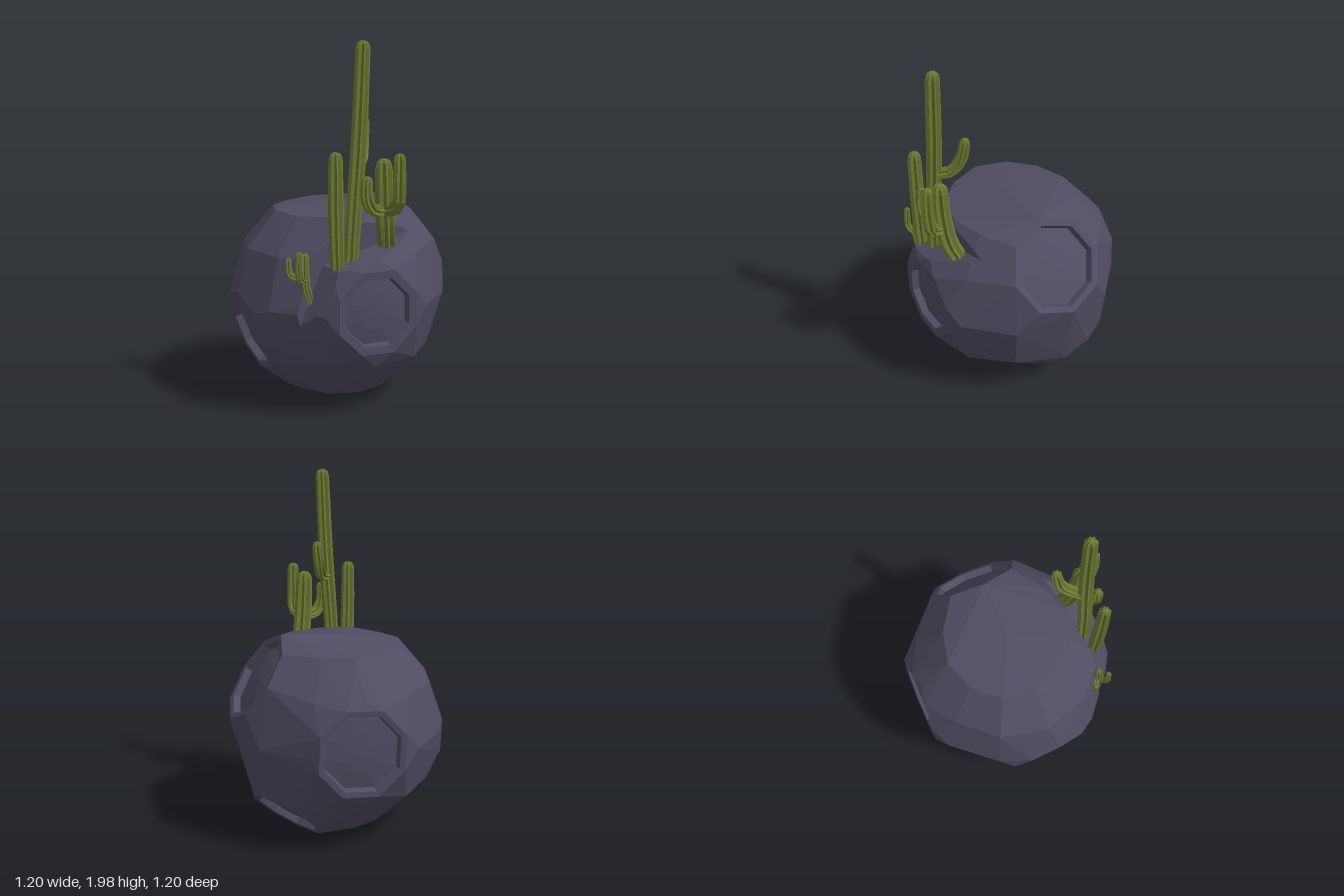
import * as THREE from 'three';
import { ConvexGeometry } from 'three/addons/geometries/ConvexGeometry.js';

const V = (x, y, z) => new THREE.Vector3(x, y, z);

// Faceted skin over a list of rings (each a loop of Vector3)
function loft(rings) {
  const pos = [];
  const n = rings[0].length;
  for (let i = 0; i < rings.length - 1; i++) {
    for (let j = 0; j < n; j++) {
      const k = (j + 1) % n;
      const [a, b, c, d] = [rings[i][j], rings[i][k], rings[i + 1][k], rings[i + 1][j]];
      for (const p of [a, b, c, a, c, d]) pos.push(p.x, p.y, p.z);
    }
  }
  return faceted(pos);
}

function faceted(pos) {
  const g = new THREE.BufferGeometry();
  g.setAttribute('position', new THREE.Float32BufferAttribute(pos, 3));
  g.computeVertexNormals();
  return g;
}

function triangles(points) {
  const p = new ConvexGeometry(points).getAttribute('position');
  const out = [];
  for (let i = 0; i < p.count; i += 3) {
    out.push([0, 1, 2].map((k) => new THREE.Vector3().fromBufferAttribute(p, i + k)));
  }
  return out;
}

// Keep the part of a convex body where n.p <= d
function clip(points, n, d) {
  const out = points.filter((p) => p.dot(n) <= d);
  for (const t of triangles(points)) {
    for (let k = 0; k < 3; k++) {
      const a = t[k], b = t[(k + 1) % 3];
      const da = a.dot(n) - d, db = b.dot(n) - d;
      if (da < 0 && db > 0) out.push(a.clone().lerp(b, da / (da - db)));
    }
  }
  return out;
}

// Craters: direction from the rock centre, rim distance, rim radius, hole radius
const craters = [
  { dir: V(-0.3, 0.0, 0.51), d: 0.555, R: 0.24, r: 0.195 },
  { dir: V(0.42, 0.33, 0.25), d: 0.565, R: 0.27, r: 0.235 },
  { dir: V(0.41, -0.445, 0), d: 0.592, R: 0.22, r: 0.188 },
  { dir: V(0.34, 0.01, -0.53), d: 0.56, R: 0.255, r: 0.222 },
  { dir: V(-0.47, -0.17, -0.25), d: 0.56, R: 0.24, r: 0.205 },
];
craters.forEach((c) => c.dir.normalize());

function octagon(c, radius, dist) {
  const q = new THREE.Quaternion().setFromUnitVectors(V(0, 0, 1), c.dir);
  return Array.from({ length: 8 }, (_, i) => {
    const a = (i + 0.5) * Math.PI / 4;
    return V(radius * Math.cos(a), radius * Math.sin(a), dist).applyQuaternion(q);
  });
}

// Coarse ball with a flattened top, its points replaced by rims at the craters
function rockPoints() {
  const pts = [V(0, 0.52, 0), V(0, -0.58, 0)];
  for (const lat of [-60, -30, 0, 28, 53]) {
    for (let i = 0; i < 12; i++) {
      const a = i * Math.PI / 6, e = lat * Math.PI / 180;
      const s = 0.597 + 0.006 * Math.sin(i * 2.3 + lat);
      pts.push(V(s * Math.cos(e) * Math.sin(a), s * Math.sin(e), s * Math.cos(e) * Math.cos(a)));
    }
  }
  const kept = pts.filter((p) => craters.every((c) => p.dot(c.dir) < c.d - 0.01));
  for (const c of craters) kept.push(...octagon(c, c.R, c.d));
  return kept;
}

// Hull of the points with the crater mouths left open
function openHull(points) {
  const pos = [];
  for (const t of triangles(points)) {
    const mouth = craters.some((c) => t.every((p) => Math.abs(p.dot(c.dir) - c.d) < 1e-4));
    if (!mouth) t.forEach((p) => pos.push(p.x, p.y, p.z));
  }
  return faceted(pos);
}

// Ribbed cactus limb with a rounded tip, swept along a curve
function limb(points, r) {
  const curve = new THREE.CatmullRomCurve3(points.map((p) => V(...p)));
  const L = curve.getLength();
  const steps = [];
  for (let i = 0; i <= 8; i++) steps.push([(i / 8) * (1 - r / L), 0.9 + 0.1 * Math.sin(Math.PI * i / 8)]);
  steps.push([1 - 0.45 * r / L, 0.76], [1 - 0.12 * r / L, 0.48], [1, 0]);
  const side = V(0, 0, 1);
  return loft(steps.map(([u, s]) => {
    const c = curve.getPointAt(u), t = curve.getTangentAt(u);
    side.addScaledVector(t, -side.dot(t)).normalize();
    const up = t.clone().cross(side);
    return Array.from({ length: 16 }, (_, j) => {
      const a = j * Math.PI / 8, rad = r * s * (j % 2 ? 0.72 : 1.05);
      return c.clone().addScaledVector(side, rad * Math.cos(a)).addScaledVector(up, rad * Math.sin(a));
    });
  }));
}

export function createModel() {
  const stone = new THREE.MeshStandardMaterial({ color: 0x504c62 });
  stone.name = 'slateStone';
  const green = new THREE.MeshStandardMaterial({ color: 0x6b7a30 });
  green.name = 'cactusGreen';

  const model = new THREE.Group();
  model.name = 'cactusAsteroid';
  const add = (parent, name, geometry, material) => {
    const mesh = new THREE.Mesh(geometry, material);
    mesh.name = name;
    parent.add(mesh);
  };

  // Rock: main body ends at a wall, front shelf is cut lower to leave a ledge
  const rock = new THREE.Group();
  rock.name = 'rock';
  rock.position.y = 0.6;
  model.add(rock);
  const wall = V(-0.43, 0, 0.9);
  const all = rockPoints();
  add(rock, 'rockBody', openHull(clip(all, wall, 0.378)), stone);
  let shelf = clip(all, wall.clone().negate(), -0.373);
  shelf = clip(shelf, V(-0.31, 0.947, 0.09), 0.383);
  shelf = clip(shelf, V(-0.95, 0.4, -0.1), 0.473);
  add(rock, 'rockShelf', openHull(shelf), stone);

  // Crater lip, wall and gently domed floor
  craters.forEach((c, i) => add(rock, `crater${i + 1}`, loft([
    octagon(c, c.R, c.d),
    octagon(c, c.r, c.d - 0.003),
    octagon(c, c.r * 0.95, c.d - 0.042),
    octagon(c, c.r * 0.5, c.d - 0.028),
    octagon(c, 0, c.d - 0.022),
  ]), stone));

  // Cacti: each limb is a path and a radius
  const cacti = {
    tallCactus: [
      [[[-0.31, 0.84, 0.32], [-0.3, 1.1, 0.33], [-0.27, 1.5, 0.34], [-0.25, 2.0, 0.35]], 0.041],
      [[[-0.27, 1.38, 0.33], [-0.2, 1.39, 0.31], [-0.15, 1.46, 0.28], [-0.12, 1.6, 0.27]], 0.032],
    ],
    columnCactus: [
      [[[-0.4, 0.8, 0.3], [-0.415, 1.1, 0.3], [-0.42, 1.445, 0.3]], 0.039],
    ],
    branchedCactus: [
      [[[-0.09, 0.88, 0.4], [-0.15, 1.02, 0.43], [-0.18, 1.2, 0.44], [-0.19, 1.4, 0.44]], 0.049],
      [[[-0.18, 1.12, 0.44], [-0.19, 1.16, 0.53], [-0.2, 1.27, 0.545], [-0.2, 1.435, 0.545]], 0.035],
      [[[-0.18, 1.13, 0.44], [-0.27, 1.14, 0.43], [-0.31, 1.2, 0.42], [-0.31, 1.32, 0.42]], 0.032],
    ],
    smallCactus: [
      [[[-0.48, 0.64, 0.19], [-0.515, 0.75, 0.18], [-0.51, 0.92, 0.17]], 0.023],
      [[[-0.52, 0.77, 0.18], [-0.565, 0.8, 0.18], [-0.57, 0.94, 0.18]], 0.018],
      [[[-0.51, 0.78, 0.17], [-0.54, 0.8, 0.1], [-0.545, 0.89, 0.09]], 0.018],
    ],
  };
  for (const [name, limbs] of Object.entries(cacti)) {
    const group = new THREE.Group();
    group.name = name;
    limbs.forEach(([path, r], i) => add(group, i ? `arm${i}` : 'trunk', limb(path, r), green));
    model.add(group);
  }
  return model;
}
